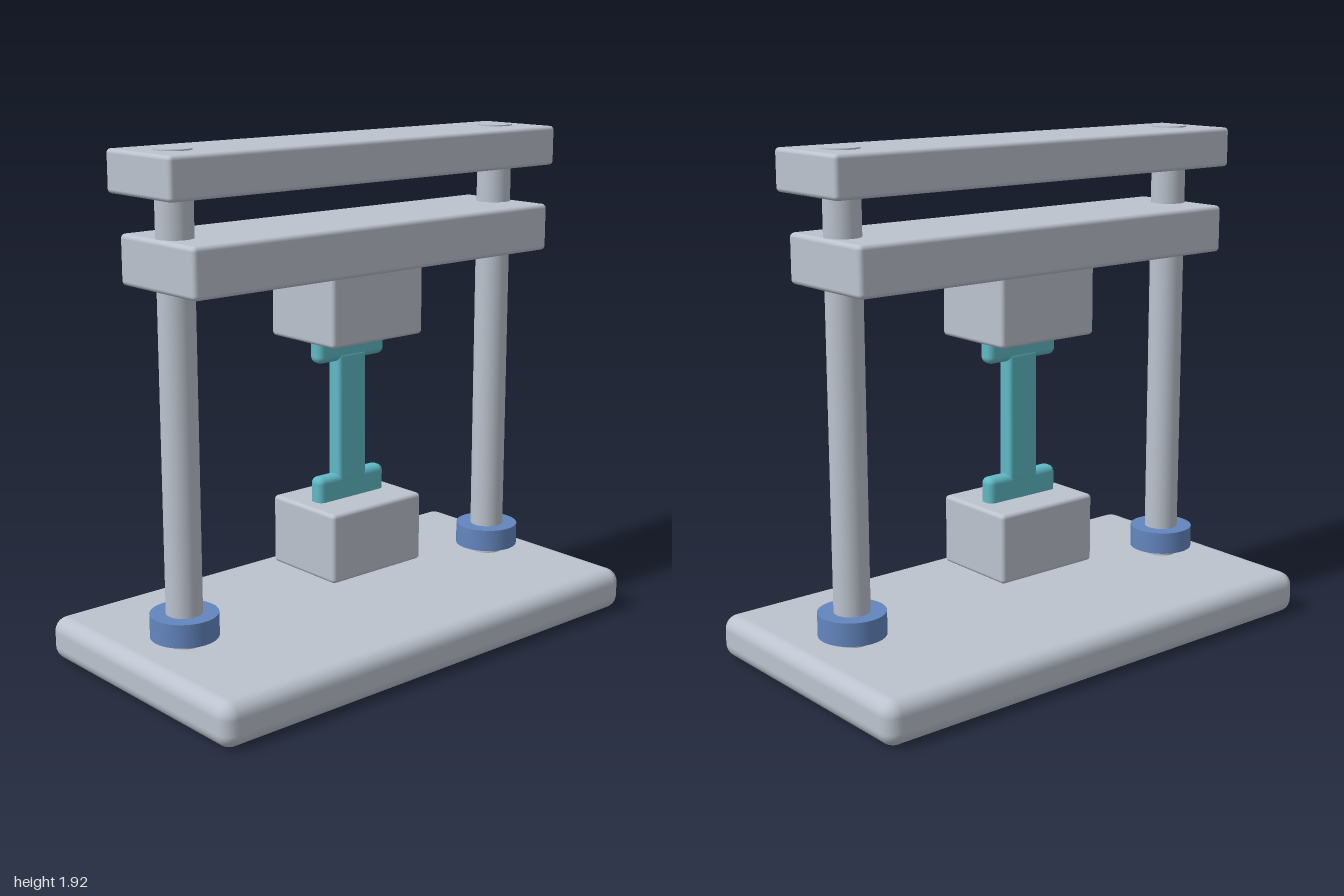
import * as THREE from 'three';
import { RoundedBoxGeometry } from 'three/addons/geometries/RoundedBoxGeometry.js';

const material = (name, color) => {
  const m = new THREE.MeshStandardMaterial({ color });
  m.name = name;
  return m;
};

export function createModel() {
  const steel = material('steel', 0xbcc3ce);
  const teal = material('specimen teal', 0x5fb9c4);
  const blue = material('collar blue', 0x6386bf);
  const group = new THREE.Group();
  group.name = 'tensileTestFrame';

  const add = (name, geometry, mat, x, y) => {
    const mesh = new THREE.Mesh(geometry, mat);
    mesh.name = name;
    mesh.position.set(x, y, 0);
    group.add(mesh);
  };
  // Rounded block centred on x and z, spanning y0 to y1
  const block = (name, w, y0, y1, d, r, mat) =>
    add(name, new RoundedBoxGeometry(w, y1 - y0, d, 4, r), mat, 0, (y0 + y1) / 2);
  // Upright cylinder spanning y0 to y1
  const post = (name, r, x, y0, y1, mat) =>
    add(name, new THREE.CylinderGeometry(r, r, y1 - y0, 48), mat, x, (y0 + y1) / 2);

  // Frame
  block('base', 2, 0, 0.165, 1.08, 0.055, steel);
  block('topBeam', 1.83, 1.76, 1.91, 0.37, 0.015, steel);
  block('crosshead', 1.7, 1.435, 1.615, 0.43, 0.017, steel);

  // Columns with their collars
  for (const [side, x] of [['left', 0.77], ['right', -0.77]]) {
    post(side + 'Column', 0.066, x, 0.1, 1.915, steel);
    post(side + 'Collar', 0.124, x, 0.193, 0.28, blue);
  }

  // Grips
  block('upperGrip', 0.44, 1.18, 1.45, 0.35, 0.015, steel);
  block('lowerGrip', 0.44, 0.295, 0.56, 0.35, 0.015, steel);

  // Specimen: two wide tabs joined by a narrow gauge section
  block('upperTab', 0.324, 1.09, 1.26, 0.065, 0.025, teal);
  block('lowerTab', 0.324, 0.49, 0.655, 0.065, 0.025, teal);
  block('gaugeSection', 0.135, 0.62, 1.12, 0.067, 0.015, teal);

  return group;
}
